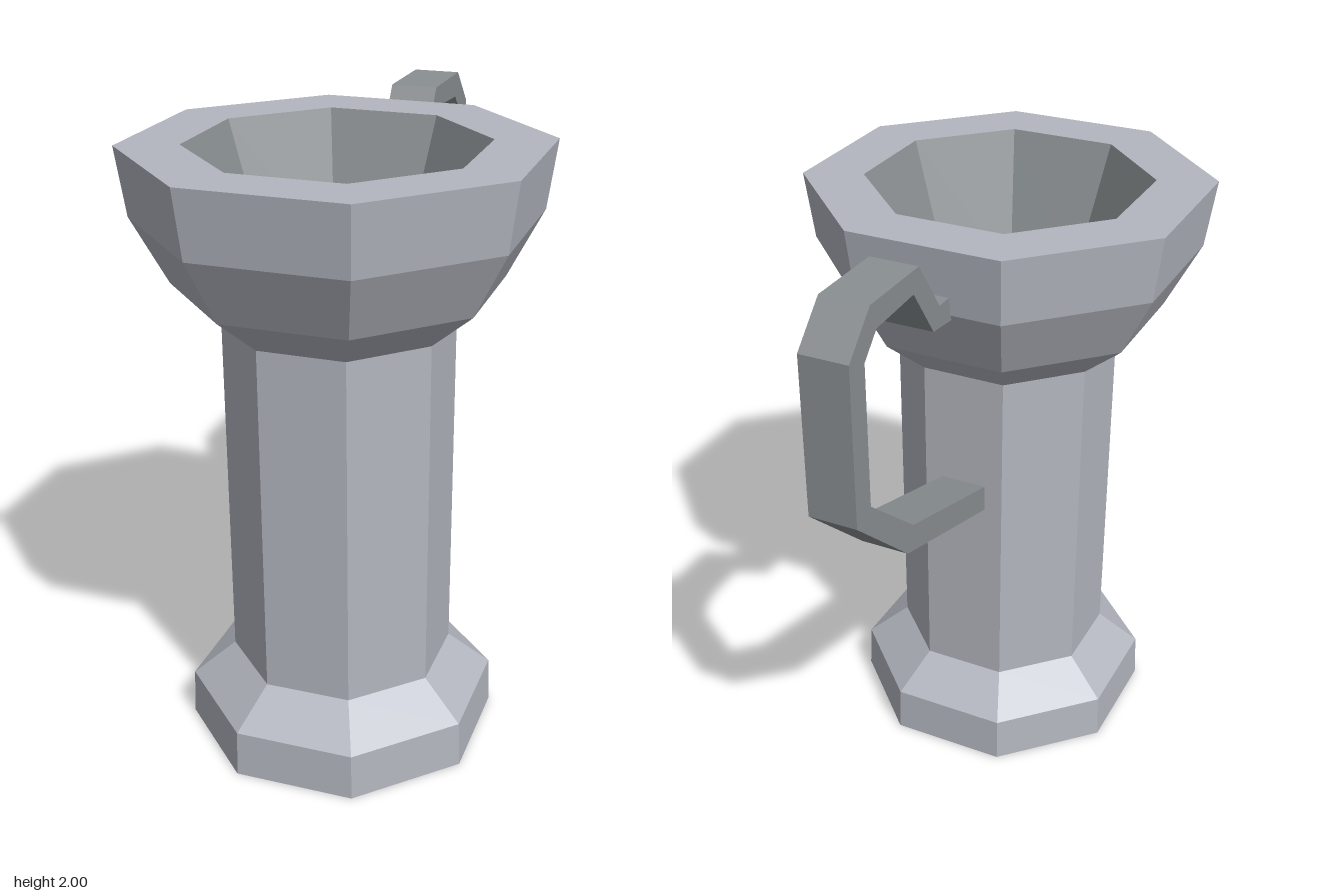
import * as THREE from 'three';

const material = (name, color, extra = {}) => {
  const m = new THREE.MeshStandardMaterial({ color, flatShading: true, ...extra });
  m.name = name;
  return m;
};

// Octagonal lathe from [apothem, y] pairs, with flat sides facing the axes
function octagon(name, profile, mat) {
  const points = profile.map(([a, y]) => new THREE.Vector2(a / Math.cos(Math.PI / 8), y));
  const mesh = new THREE.Mesh(new THREE.LatheGeometry(points, 8, Math.PI / 8), mat);
  mesh.name = name;
  return mesh;
}

export function createModel() {
  const model = new THREE.Group();
  model.name = 'tankard';
  const pale = material('paleGrey', 0xb3b6bf);
  const dark = material('steelGrey', 0x8a8f92);

  // Octagonal body, set forward of the handle
  const body = new THREE.Group();
  body.name = 'body';
  body.position.z = 0.277;
  body.add(
    octagon('base', [[0, 0], [0.474, 0], [0.468, 0.155], [0.337, 0.27]], pale),
    octagon('column', [[0.337, 0.27], [0.337, 1.435]], pale),
    octagon('bowl', [[0.337, 1.435], [0.475, 1.56], [0.58, 1.77], [0.608, 1.985], [0.428, 1.985]], pale),
    octagon('bowlInterior', [[0.428, 1.985], [0.277, 1.53], [0, 1.53]], dark),
  );
  model.add(body);

  // Angular handle: side outline as [distance behind centre, height]
  const outline = [
    [0.27, 1.83], [0.37, 1.83], [0.49, 2], [0.765, 2], [0.885, 1.88], [0.885, 1.37],
    [0.6, 1.11], [0.03, 0.94], [0.03, 1.03], [0.56, 1.19], [0.805, 1.4],
    [0.805, 1.85], [0.735, 1.92], [0.525, 1.93], [0.41, 1.765], [0.27, 1.75],
  ];
  const width = 0.156;
  const shape = new THREE.Shape(outline.map(([d, y]) => new THREE.Vector2(d, y)));
  const geometry = new THREE.ExtrudeGeometry(shape, { depth: width, bevelEnabled: false });
  geometry.translate(0, 0, -width / 2).rotateY(Math.PI / 2);
  const handle = new THREE.Mesh(geometry, dark);
  handle.name = 'handle';
  model.add(handle);

  return model;
}
